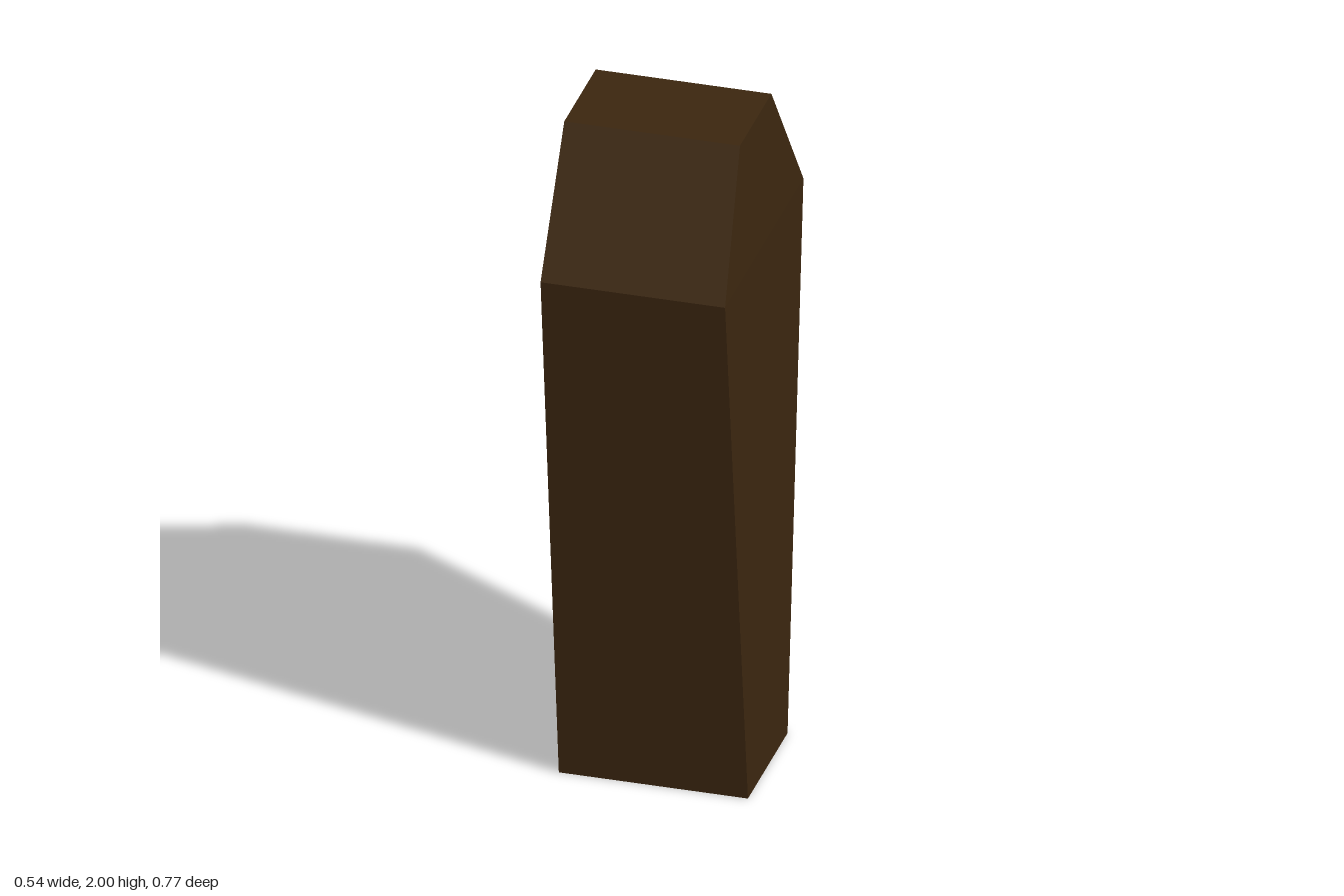
import * as THREE from 'three';

const wood = new THREE.MeshStandardMaterial({ color: 0x3b260f, side: THREE.DoubleSide });
wood.name = 'darkWood';

// Outline corners, counter-clockwise seen from +x: height, depth, open-rim x, closed-side x
const corners = [
  { y: 0, z: -0.19, open: -0.27, closed: 0.267 },
  { y: 1.62, z: -0.384, open: -0.225, closed: 0.256 },
  { y: 2, z: -0.153, open: -0.267, closed: 0.232 },
  { y: 2, z: 0.155, open: -0.267, closed: 0.232 },
  { y: 1.62, z: 0.384, open: -0.268, closed: 0.256 },
  { y: 0, z: 0.198, open: -0.27, closed: 0.267 },
];
const rim = corners.map((c) => new THREE.Vector3(c.open, c.y, c.z));
const base = corners.map((c) => new THREE.Vector3(c.closed, c.y, c.z));

// Flat four-cornered board
function board(name, a, b, c, d) {
  const geometry = new THREE.BufferGeometry().setFromPoints([a, b, c, a, c, d]);
  geometry.computeVertexNormals();
  const mesh = new THREE.Mesh(geometry, wood);
  mesh.name = name;
  return mesh;
}

export function createModel() {
  const group = new THREE.Group();
  group.name = 'openCoffin';

  // Six boards around the outline
  const names = ['backWall', 'backShoulder', 'topEnd', 'frontShoulder', 'frontWall', 'footEnd'];
  names.forEach((name, i) => {
    const j = (i + 1) % names.length;
    group.add(board(name, rim[i], rim[j], base[j], base[i]));
  });

  // Closed side, bent slightly at the shoulders; the opposite side stays open
  group.add(board('lowerPanel', base[0], base[1], base[4], base[5]));
  group.add(board('upperPanel', base[1], base[2], base[3], base[4]));

  return group;
}
